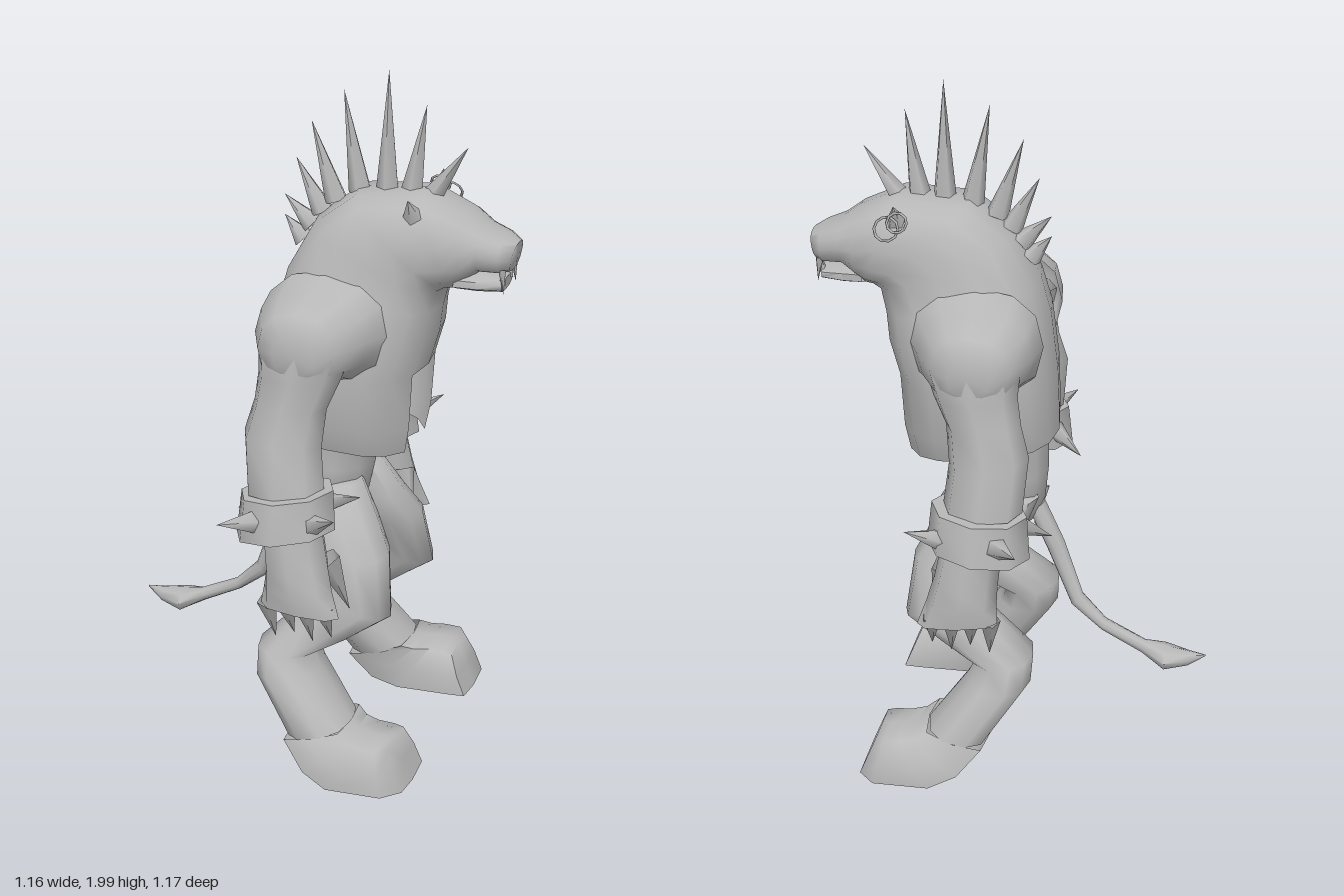
import * as THREE from 'three';
import { toCreasedNormals } from 'three/addons/utils/BufferGeometryUtils.js';

const hide = new THREE.MeshStandardMaterial({ color: 0xb8b8b8, side: THREE.DoubleSide });
hide.name = 'greyHide';

// Each ring is [x0, y0, x1, y1, z, halfWidth]: two opposite edge points in the
// side plane, plus the sideways centre and half width. Low power = boxier ring.
function loft(rings, { n = 10, power = 0.85, caps = [true, true], skip = () => false, crease = 1.1 } = {}) {
  const pos = [], index = [];
  const sup = (v) => (Math.abs(v) < 1e-6 ? 0 : Math.sign(v) * Math.pow(Math.abs(v), power));
  for (const [x0, y0, x1, y1, z, b] of rings) {
    for (let j = 0; j < n; j++) {
      const t = (j / n) * Math.PI * 2, c = sup(Math.cos(t)), s = sup(Math.sin(t));
      pos.push((x0 + x1) / 2 + c * (x0 - x1) / 2, (y0 + y1) / 2 + c * (y0 - y1) / 2, z + s * b);
    }
  }
  for (let i = 0; i < rings.length - 1; i++) {
    for (let j = 0; j < n; j++) {
      if (skip(i, j)) continue;
      const k = (j + 1) % n, a = i * n + j, b = i * n + k;
      index.push(a, b, a + n, b, b + n, a + n);
    }
  }
  [0, rings.length - 1].forEach((i, end) => {
    if (!caps[end]) return;
    const [x0, y0, x1, y1, z] = rings[i];
    const centre = pos.length / 3;
    pos.push((x0 + x1) / 2, (y0 + y1) / 2, z);
    for (let j = 0; j < n; j++) {
      const a = i * n + j, b = i * n + (j + 1) % n;
      if (end) index.push(a, b, centre);
      else index.push(b, a, centre);
    }
  });
  const g = new THREE.BufferGeometry();
  g.setAttribute('position', new THREE.Float32BufferAttribute(pos, 3));
  g.setIndex(index);
  return toCreasedNormals(g, crease);
}

function add(parent, name, geometry) {
  const mesh = new THREE.Mesh(geometry, hide);
  mesh.name = name;
  parent.add(mesh);
  return mesh;
}

// Pointed cone from a base point to a tip
function spike(parent, name, base, tip, radius, sides = 5) {
  const a = new THREE.Vector3(...base), b = new THREE.Vector3(...tip);
  const d = b.clone().sub(a);
  const mesh = add(parent, name, new THREE.ConeGeometry(radius, d.length(), sides, 1, true));
  mesh.position.copy(a).add(b).multiplyScalar(0.5);
  mesh.quaternion.setFromUnitVectors(new THREE.Vector3(0, 1, 0), d.normalize());
}

export function createModel() {
  const model = new THREE.Group();
  model.name = 'spikedBeast';

  // Torso shell open at the lower front, running up into neck, head and snout
  add(model, 'torsoAndHead', loft([
    [-0.13, 0.96, 0.3, 0.91, 0, 0.21],
    [-0.13, 1.02, 0.315, 0.99, 0, 0.235],
    [-0.125, 1.15, 0.325, 1.15, 0, 0.245],
    [-0.105, 1.32, 0.355, 1.25, 0, 0.24],
    [-0.075, 1.43, 0.365, 1.33, 0, 0.21],
    [0.0, 1.565, 0.38, 1.39, 0, 0.185],
    [0.12, 1.655, 0.4, 1.4, 0, 0.175],
    [0.32, 1.668, 0.42, 1.4, 0, 0.155],
    [0.44, 1.615, 0.44, 1.42, 0, 0.133],
    [0.49, 1.578, 0.48, 1.45, 0, 0.108],
    [0.545, 1.555, 0.54, 1.45, 0, 0.095],
    [0.58, 1.535, 0.565, 1.455, 0, 0.06],
  ], { n: 16, power: 0.8, caps: [false, true], skip: (i, j) => i < 2 && (j === 7 || j === 8) }));

  add(model, 'lowerJaw', loft([
    [0.42, 1.455, 0.42, 1.4, 0, 0.105],
    [0.48, 1.45, 0.48, 1.395, 0, 0.09],
    [0.55, 1.435, 0.545, 1.395, 0, 0.06],
  ], { caps: [false, true] }));
  add(model, 'waist', loft([
    [0.31, 1.17, -0.09, 1.12, 0, 0.2],
    [0.19, 0.96, -0.1, 0.96, 0, 0.14],
    [0.17, 0.84, -0.1, 0.84, 0, 0.145],
    [0.15, 0.75, -0.09, 0.74, 0, 0.14],
    [0.1, 0.68, -0.06, 0.67, 0, 0.05],
  ], { caps: [false, true] }));
  add(model, 'tail', loft([
    [-0.04, 0.7, -0.09, 0.73, 0, 0.035],
    [-0.1, 0.58, -0.15, 0.61, -0.015, 0.03],
    [-0.175, 0.415, -0.21, 0.45, -0.035, 0.026],
    [-0.27, 0.345, -0.28, 0.38, -0.05, 0.023],
    [-0.39, 0.285, -0.4, 0.325, -0.06, 0.022],
    [-0.46, 0.245, -0.46, 0.315, -0.065, 0.055],
    [-0.53, 0.26, -0.53, 0.305, -0.07, 0.025],
    [-0.58, 0.295, -0.58, 0.3, -0.075, 0.002],
  ], { n: 8, power: 1, caps: [false, true] }));

  // Crest of spikes along the back and head
  const crest = [
    [-0.045, 1.485, -0.105, 1.55], [-0.02, 1.53, -0.105, 1.61], [0.01, 1.57, -0.07, 1.72],
    [0.05, 1.605, -0.025, 1.83], [0.12, 1.64, 0.07, 1.925], [0.2, 1.65, 0.2, 1.99],
    [0.27, 1.645, 0.31, 1.9], [0.32, 1.63, 0.43, 1.79],
  ];
  for (const [bx, by, tx, ty] of crest) spike(model, 'crestSpike', [bx, by, 0], [tx, ty, 0], 0.034);

  // Rings in the right ear
  for (const [x, y, r] of [[0.3, 1.63, 0.028], [0.33, 1.61, 0.034]]) {
    const ring = add(model, 'earring', new THREE.TorusGeometry(r, 0.004, 4, 10));
    ring.position.set(x, y, -0.18);
    ring.rotation.x = 0.5;
  }

  // Shoulder rows from outside in: [z, front x, back x, top y, bottom y]
  const shoulderRows = [
    [0.41, 0.12, 0.0, 1.33, 1.22], [0.385, 0.17, -0.05, 1.385, 1.18],
    [0.28, 0.23, -0.095, 1.415, 1.17], [0.17, 0.275, -0.11, 1.45, 1.12],
  ];

  for (const s of [1, -1]) {
    const side = new THREE.Group();
    side.name = s > 0 ? 'leftLimbs' : 'rightLimbs';
    model.add(side);
    const sided = (rings) => rings.map(([a, b, c, d, z, w]) => [a, b, c, d, z * s, w]);

    // Shoulder, lofted sideways out of the torso
    const shoulder = shoulderRows.map(([z, front, back, top, low]) =>
      [front, -z * s, back, -z * s, (top + low) / 2, (top - low) / 2]);
    if (s > 0) shoulder.reverse();
    add(side, 'shoulder', loft(shoulder, { n: 12, caps: [s < 0, s > 0] }).rotateX(-Math.PI / 2));

    // Ear and teeth
    spike(side, 'ear', [0.31, 1.61, 0.12 * s], [0.31, 1.675, 0.175 * s], 0.032);
    spike(side, 'lowerFang', [0.545, 1.42, 0.04 * s], [0.55, 1.475, 0.045 * s], 0.011);
    spike(side, 'upperFang', [0.55, 1.47, 0.062 * s], [0.555, 1.4, 0.066 * s], 0.012);

    // Arm from sleeve to wrist
    add(side, 'arm', loft(sided([
      [0.2, 1.27, -0.07, 1.27, 0.32, 0.09],
      [0.17, 1.19, -0.065, 1.2, 0.335, 0.083],
      [0.135, 1.11, -0.075, 1.12, 0.34, 0.083],
      [0.125, 1.0, -0.1, 1.03, 0.355, 0.095],
      [0.14, 0.87, -0.085, 0.87, 0.375, 0.1],
    ]), { n: 8, caps: [false, false] }));
    add(side, 'wristCuff', loft(sided([
      [0.17, 0.89, -0.1, 0.86, 0.385, 0.125],
      [0.18, 0.78, -0.11, 0.74, 0.4, 0.13],
    ]), { n: 8, power: 1, crease: 0.9 }));
    const cuffTips = [[-0.1, 0.83, 0.585], [0.22, 0.86, 0.53], [-0.155, 0.75, 0.27], [0.19, 0.8, 0.2]];
    for (const [x, y, z] of cuffTips) {
      spike(side, 'cuffSpike', [0.035 + (x - 0.035) * 0.5, 0.81, (0.39 + (z - 0.39) * 0.5) * s],
        [x, y, z * s], 0.033);
    }

    // Hand flaring front to back and thinning sideways, with claws
    add(side, 'hand', loft(sided([
      [0.14, 0.77, -0.03, 0.75, 0.395, 0.085],
      [0.16, 0.67, -0.02, 0.65, 0.405, 0.088],
      [0.18, 0.6, -0.02, 0.6, 0.425, 0.07],
      [0.205, 0.53, -0.025, 0.55, 0.44, 0.045],
    ]), { n: 8, caps: [false, true] }));
    for (let i = 0; i < 4; i++) {
      const x = -0.005 + i * 0.055;
      spike(side, 'claw', [x, 0.56, 0.445 * s], [x + 0.01, 0.43 + 0.02 * (i % 2), 0.4 * s], 0.03);
    }
    spike(side, 'thumb', [0.14, 0.67, 0.355 * s], [0.19, 0.5, 0.3 * s], 0.04);

    // Leg with bent knee and hock, widening towards the ankle
    add(side, 'leg', loft(sided([
      [0.16, 0.81, -0.085, 0.78, 0.09, 0.085],
      [0.22, 0.7, -0.04, 0.67, 0.125, 0.105],
      [0.265, 0.62, 0.03, 0.6, 0.165, 0.1],
      [0.285, 0.45, 0.09, 0.52, 0.21, 0.088],
      [0.18, 0.38, 0.0, 0.44, 0.22, 0.09],
      [0.07, 0.33, -0.095, 0.35, 0.24, 0.112],
      [0.09, 0.29, -0.09, 0.27, 0.26, 0.128],
      [0.2, 0.15, 0.02, 0.11, 0.3, 0.128],
    ]), { crease: 1.5, caps: [true, false] }));

    // Broad flat foot whose sides lean in towards the top
    const foot = loft(sided([
      [0.2, 0.155, 0.02, 0.11, 0.3, 0.128],
      [0.23, 0.143, 0.09, 0.03, 0.325, 0.138],
      [0.27, 0.142, 0.17, 0, 0.345, 0.148],
      [0.31, 0.138, 0.34, 0, 0.345, 0.148],
      [0.335, 0.132, 0.39, 0, 0.32, 0.115],
    ]), { n: 8, power: 0.35, caps: [false, true] });
    const p = foot.attributes.position;
    for (let i = 0; i < p.count; i++) {
      const lean = Math.min(1, Math.max(0, (p.getX(i) - 0.15) * 10));
      p.setZ(i, s * 0.34 + (p.getZ(i) - s * 0.34) * (1 - 2 * p.getY(i) * lean));
    }
    add(side, 'foot', toCreasedNormals(foot, 1.1));
  }
  return model;
}
